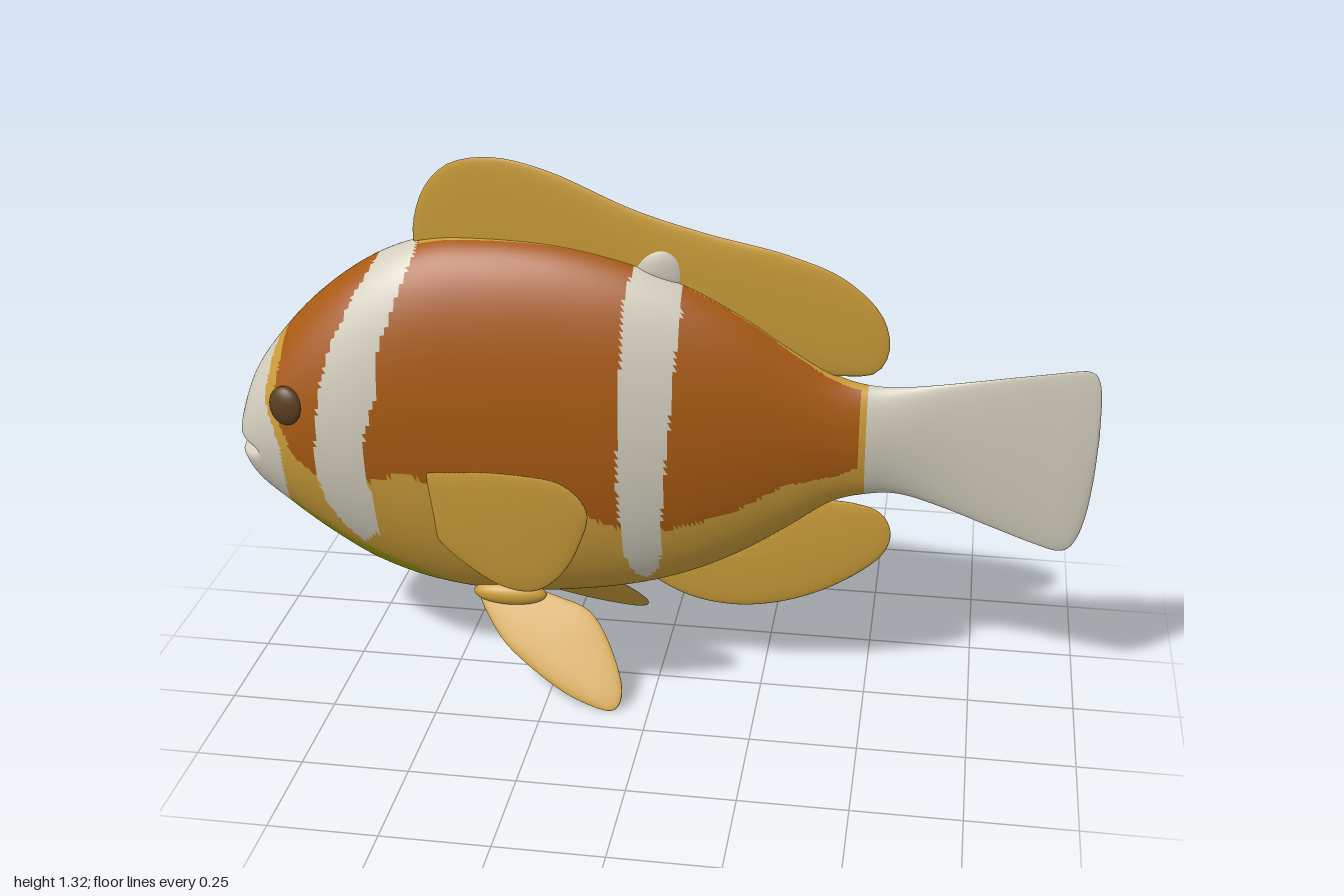
import * as THREE from 'three';

const mat = (name, color, side = THREE.FrontSide) => Object.assign(new THREE.MeshStandardMaterial({ color, side }), { name });

// Piecewise linear lookup through [key, value] pairs with rising keys
function lookup(table, k) {
  if (k <= table[0][0]) return table[0][1];
  for (let i = 1; i < table.length; i++) {
    const [a, va] = table[i - 1], [b, vb] = table[i];
    if (k <= b) return va + (vb - va) * (k - a) / (b - a);
  }
  return table[table.length - 1][1];
}

// Surface from rows of closed loops; paint(centre) picks a material index per face
function loopSurface(rows, cols, point, paint) {
  const pos = [], buckets = [];
  for (let i = 0; i <= rows; i++)
    for (let j = 0; j < cols; j++) pos.push(...point(i / rows, j / cols));
  const c = new THREE.Vector3();
  const face = (...ids) => {
    c.set(0, 0, 0);
    ids.forEach(n => { c.x += pos[n * 3] / 3; c.y += pos[n * 3 + 1] / 3; c.z += pos[n * 3 + 2] / 3; });
    (buckets[paint ? paint(c) : 0] ??= []).push(...ids);
  };
  for (let i = 0; i < rows; i++)
    for (let j = 0; j < cols; j++) {
      const a = i * cols + j, b = i * cols + (j + 1) % cols;
      face(a, a + cols, b);
      face(b, a + cols, b + cols);
    }
  const geo = new THREE.BufferGeometry(), index = [];
  geo.setAttribute('position', new THREE.Float32BufferAttribute(pos, 3));
  buckets.forEach((list, m) => {
    if (paint) geo.addGroup(index.length, list.length, m);
    for (const n of list) index.push(n);
  });
  geo.setIndex(index);
  geo.computeVertexNormals();
  return geo;
}

// Body and tail sections: x, top, bottom, half width
const sections = [
  [-1, 0.606, 0.604, 0.001], [-0.996, 0.65, 0.56, 0.05], [-0.985, 0.695, 0.525, 0.085], [-0.95, 0.78, 0.475, 0.122],
  [-0.88, 0.875, 0.415, 0.152], [-0.8, 0.96, 0.35, 0.17], [-0.7, 1.04, 0.282, 0.18], [-0.6, 1.095, 0.238, 0.18],
  [-0.5, 1.123, 0.214, 0.177], [-0.4, 1.13, 0.205, 0.174], [-0.3, 1.129, 0.208, 0.17], [-0.2, 1.12, 0.22, 0.165],
  [-0.1, 1.1, 0.238, 0.16], [0, 1.07, 0.265, 0.15], [0.1, 1.027, 0.305, 0.135], [0.2, 0.97, 0.36, 0.115],
  [0.3, 0.9, 0.43, 0.09], [0.4, 0.835, 0.505, 0.066], [0.48, 0.812, 0.532, 0.05], [0.56, 0.813, 0.537, 0.034],
  [0.66, 0.828, 0.508, 0.02], [0.78, 0.85, 0.462, 0.014], [0.88, 0.868, 0.425, 0.012], [0.935, 0.878, 0.412, 0.012],
  [0.965, 0.88, 0.435, 0.011], [0.985, 0.865, 0.5, 0.01], [0.996, 0.82, 0.6, 0.008], [1, 0.72, 0.71, 0.001],
];

// Marking outlines
const faceEdge = [[0.45, -0.88], [0.55, -0.868], [0.65, -0.87], [0.75, -0.905], [0.85, -0.89]];
const stripeFrontA = [[0.38, -0.7], [0.42, -0.73], [0.5, -0.77], [0.6, -0.785], [0.7, -0.772], [0.8, -0.76], [0.9, -0.73], [1, -0.685], [1.1, -0.625]];
const stripeFrontB = [[0.38, -0.69], [0.42, -0.65], [0.5, -0.647], [0.6, -0.662], [0.7, -0.655], [0.8, -0.622], [0.9, -0.618], [1, -0.58], [1.1, -0.545]];
const stripeMidA = [[0.3, -0.03], [0.33, -0.055], [0.4, -0.07], [0.6, -0.077], [0.9, -0.066], [1.05, -0.063], [1.12, -0.03]];
const stripeMidB = [[0.3, -0.02], [0.33, 0.005], [0.4, 0.018], [0.6, 0.03], [0.75, 0.045], [0.9, 0.055], [1, 0.064], [1.12, 0.05]];
const orangeEdge = [[-0.87, 0.68], [-0.84, 0.63], [-0.78, 0.57], [-0.65, 0.575], [-0.57, 0.61], [-0.5, 0.57], [-0.4, 0.61], [-0.25, 0.58],
  [-0.1, 0.48], [0.03, 0.47], [0.1, 0.488], [0.2, 0.525], [0.3, 0.585], [0.42, 0.605], [0.47, 0.63]];
const bellyEdge = [[-0.88, 0.485], [-0.75, 0.395], [-0.6, 0.312], [-0.5, 0.25], [-0.42, 0.2], [-0.34, 0.2], [-0.3, 0.232], [-0.2, 0.246], [-0.1, 0.258], [0, 0.264]];

const ORANGE = 0, GOLD = 1, WHITE = 2, YELLOW = 3;
function bodyPaint({ x, y, z }) {
  const faceX = lookup(faceEdge, y);
  if (x < faceX || x > 0.482) return WHITE;
  if (y > 0.38 && x > lookup(stripeFrontA, y) && x < lookup(stripeFrontB, y)) return WHITE;
  if (y > 0.3 && x > lookup(stripeMidA, y) && x < lookup(stripeMidB, y)) return WHITE;
  if (x < 0 && y < lookup(bellyEdge, x)) return YELLOW;
  if (x < faceX + 0.025 || x > 0.466 || y < lookup(orangeEdge, x)) return GOLD;
  return x > -0.54 && y > 0.8 && Math.abs(z) < 0.016 ? GOLD : ORANGE;
}

function bodyGeometry() {
  const last = sections.length - 1;
  const spline = new THREE.CubicInterpolant(sections.map((s, i) => i), sections.flat(), 4);
  return loopSurface(last * 10, 128, (u, v) => {
    const [x, top, bottom, w] = spline.evaluate(u * last);
    const a = -v * Math.PI * 2;
    const y = (top + bottom) / 2 + (top - bottom) / 2 * Math.cos(a);
    // crease that parts the lips
    const mouth = 0.035 * Math.exp(-(((y - 0.605) / 0.013) ** 2)) * (1 - THREE.MathUtils.smoothstep(x, -0.985, -0.92));
    return [x + mouth, y, w * Math.sin(a)];
  }, bodyPaint);
}

// Thin lens-shaped fin from an outline; bend(x, y) gives its z position
function finGeometry(outline, thickness, bend = () => 0) {
  let pts = new THREE.CatmullRomCurve3(outline.map(([x, y]) => new THREE.Vector3(x, y, 0)), true).getSpacedPoints(96).slice(0, 96);
  if (THREE.ShapeUtils.area(pts) < 0) pts.reverse();
  const c = new THREE.Box3().setFromPoints(pts).getCenter(new THREE.Vector3());
  return loopSurface(24, 96, (u, v) => {
    const p = pts[Math.round(v * 96)], k = Math.sin(u * Math.PI);
    const x = c.x + (p.x - c.x) * k, y = c.y + (p.y - c.y) * k;
    return [x, y, bend(x, y) + thickness * Math.cos(u * Math.PI)];
  });
}

const dorsal = [[-0.55, 1.09], [-0.535, 1.22], [-0.47, 1.298], [-0.37, 1.32], [-0.25, 1.297], [-0.05, 1.212], [0.1, 1.167], [0.3, 1.12],
  [0.42, 1.07], [0.505, 0.985], [0.523, 0.9], [0.495, 0.845], [0.43, 0.833], [0.34, 0.84], [0.1, 0.95], [-0.2, 1.03], [-0.45, 1.05]];
const anal = [[-0.03, 0.28], [0.05, 0.22], [0.17, 0.196], [0.3, 0.217], [0.43, 0.28], [0.53, 0.37], [0.545, 0.43], [0.52, 0.48],
  [0.46, 0.502], [0.36, 0.5], [0.2, 0.42], [0.08, 0.34]];
const pectoral = [[-0.53, 0.59], [-0.42, 0.65], [-0.28, 0.69], [-0.16, 0.695], [-0.11, 0.64], [-0.135, 0.53], [-0.19, 0.42],
  [-0.26, 0.35], [-0.34, 0.335], [-0.44, 0.37], [-0.52, 0.43]];
const pelvic = [[-0.44, 0.235], [-0.38, 0.145], [-0.3, 0.09], [-0.17, 0.032], [-0.08, 0.02], [-0.066, 0.05], [-0.1, 0.13],
  [-0.16, 0.198], [-0.24, 0.222], [-0.34, 0.24]];

export function createModel() {
  const orange = mat('orange skin', 0xa85a12), gold = mat('gold skin', 0xcb9d39);
  const white = mat('white skin', 0xd2cdbd), yellow = mat('yellow belly', 0xa5a206);
  const brown = mat('brown eye', 0x5c4022);

  const fish = new THREE.Group();
  fish.position.y = -0.66;
  const add = (name, geo, material) => {
    const mesh = new THREE.Mesh(geo, material);
    mesh.name = name;
    fish.add(mesh);
    return mesh;
  };

  add('bodyAndTail', bodyGeometry(), [orange, gold, white, yellow]);
  add('dorsalFin', finGeometry(dorsal, 0.015), gold);
  add('analFin', finGeometry(anal, 0.012), gold);

  // White stripe running onto the dorsal fin
  add('stripeTip', finGeometry([[-0.06, 1.06], [-0.035, 1.11], [0.015, 1.132], [0.055, 1.11], [0.063, 1.04], [0, 1.02]], 0.024), white);

  // Paired fins and eyes
  for (const s of [1, -1]) {
    const side = s > 0 ? 'front' : 'back';
    add(side + 'PectoralFin', finGeometry(pectoral, 0.011, (x, y) =>
      s * (0.15 + 0.175 * Math.max(0, (x + 0.53) / 0.42) ** 0.75 + 0.18 * (y - 0.55))), gold);
    add(side + 'PelvicFin', finGeometry(pelvic, 0.012, (x, y) => s * (0.07 + (0.215 - y) * 0.8)), gold);

    const root = add(side + 'PelvicRoot', new THREE.SphereGeometry(1, 24, 16), gold);
    root.scale.set(0.09, 0.03, 0.03);
    root.position.set(-0.36, 0.225, s * 0.066);

    const eye = add(side + 'Eye', new THREE.SphereGeometry(1, 32, 20), brown);
    eye.scale.set(0.043, 0.05, 0.024);
    eye.position.set(-0.845, 0.745, s * 0.146);
    eye.rotation.y = -s * 0.25;
  }

  // Slight roll of the whole swimming body
  const model = new THREE.Group();
  model.name = 'fish';
  model.add(fish);
  model.position.y = 0.66;
  model.rotation.x = 0.075;
  const root = new THREE.Group();
  root.add(model);
  return root;
}
